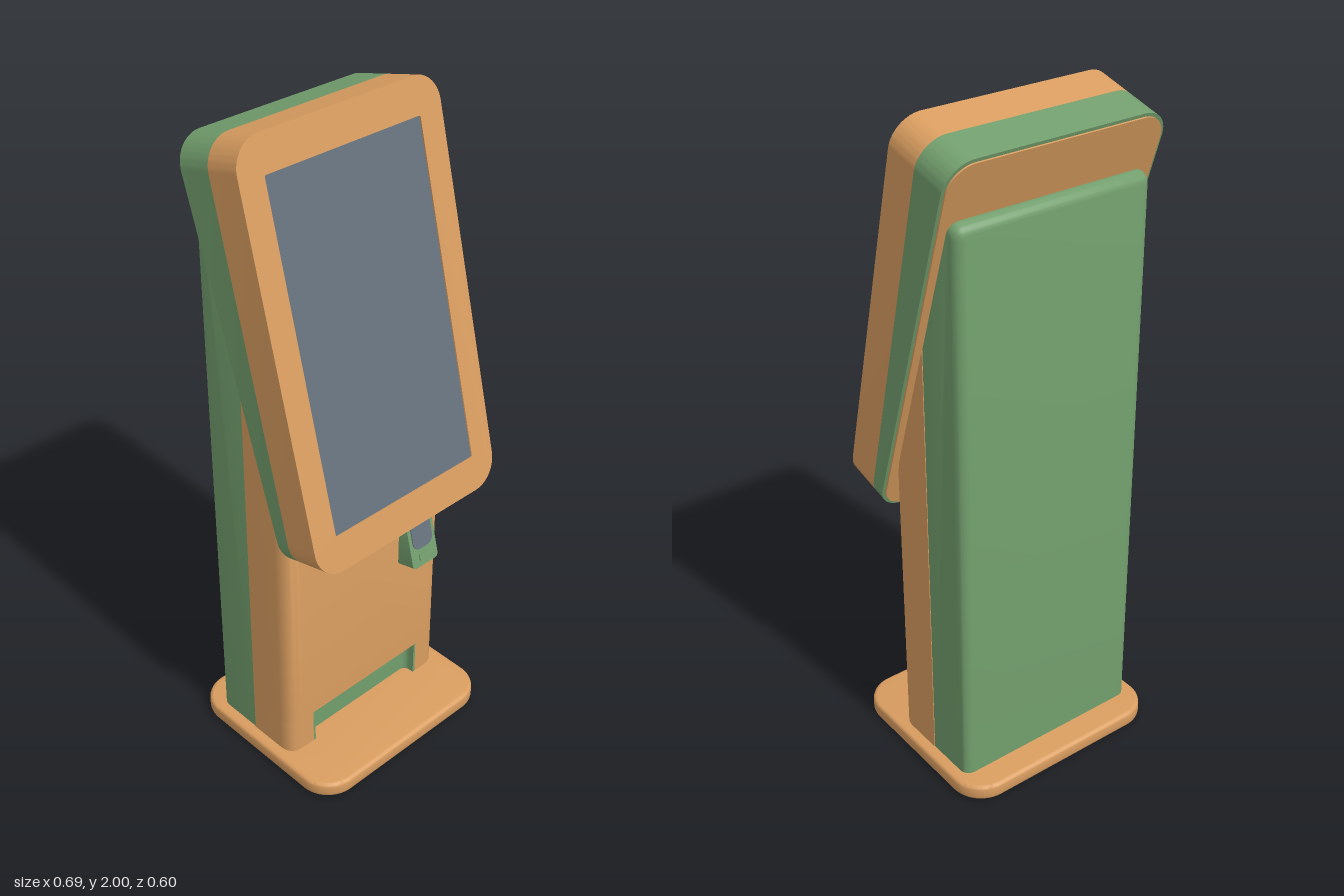
import * as THREE from 'three';
import { toCreasedNormals } from 'three/addons/utils/BufferGeometryUtils.js';

const orange = new THREE.MeshStandardMaterial({ color: 0xd99d60 });
orange.name = 'orange casing';
const green = new THREE.MeshStandardMaterial({ color: 0x729e6d });
green.name = 'green casing';
const glass = new THREE.MeshStandardMaterial({ color: 0x66727d });
glass.name = 'grey glass';

const TILT = Math.atan(0.2565);

function add(parent, name, geometry, material) {
  const mesh = new THREE.Mesh(toCreasedNormals(geometry, 0.6), material);
  mesh.name = name;
  parent.add(mesh);
  return mesh;
}

// Rounded rectangle, centred in x, rising from y0 by h
function roundRect(w, h, r, y0 = 0, Type = THREE.Shape) {
  const s = new Type(), x = w / 2, y1 = y0 + h;
  s.moveTo(-x + r, y0);
  s.lineTo(x - r, y0);
  s.absarc(x - r, y0 + r, r, -Math.PI / 2, 0);
  s.lineTo(x, y1 - r);
  s.absarc(x - r, y1 - r, r, 0, Math.PI / 2);
  s.lineTo(-x + r, y1);
  s.absarc(-x + r, y1 - r, r, Math.PI / 2, Math.PI);
  s.lineTo(-x, y0 + r);
  s.absarc(-x + r, y0 + r, r, Math.PI, Math.PI * 1.5);
  return s;
}

// Slab between z = front and a back plane that may slope from bottom to top
function slab(shape, h, front, backLow, backHigh = backLow) {
  const g = new THREE.ExtrudeGeometry(shape, { depth: 1, bevelEnabled: false, curveSegments: 10 });
  const p = g.attributes.position;
  for (let i = 0; i < p.count; i++) {
    const back = THREE.MathUtils.lerp(backLow, backHigh, p.getY(i) / h);
    p.setZ(i, THREE.MathUtils.lerp(back, front, p.getZ(i)));
  }
  return g;
}

// Plan outline (x, -z) raised from y0 by h
function raise(shape, y0, h, bevel = 0) {
  const g = new THREE.ExtrudeGeometry(shape, {
    depth: h - 2 * bevel, curveSegments: 10, bevelEnabled: bevel > 0,
    bevelSize: bevel, bevelThickness: bevel, bevelOffset: -bevel, bevelSegments: 3,
  });
  return g.rotateX(-Math.PI / 2).translate(0, y0 + bevel, 0);
}

// Hollow at the foot of the column, traced left to right
function traceHollow(s, x, depth, r) {
  const f = -0.11, b = f + depth;
  s.lineTo(-x, f);
  s.lineTo(-x, b - r);
  s.quadraticCurveTo(-x, b, -x + r, b);
  s.lineTo(x - r, b);
  s.quadraticCurveTo(x, b, x, b - r);
  s.lineTo(x, f);
}

// Plan of the front half of the column
function frontPlan(hollow) {
  const s = new THREE.Shape();
  s.moveTo(-0.312, 0.055);
  s.lineTo(-0.312, -0.06);
  s.quadraticCurveTo(-0.312, -0.11, -0.262, -0.11);
  if (hollow) traceHollow(s, 0.22, 0.045, 0.03);
  s.lineTo(0.262, -0.11);
  s.quadraticCurveTo(0.312, -0.11, 0.312, -0.06);
  s.lineTo(0.312, 0.055);
  s.closePath();
  return s;
}

function buildColumn(root) {
  const column = new THREE.Group();
  column.name = 'column';
  root.add(column);
  add(column, 'columnFoot', raise(frontPlan(true), 0.03, 0.137), orange);

  // Front shell, its top cut along the slope of the head
  const front = raise(frontPlan(false), 0.167, 1);
  const p = front.attributes.position;
  for (let i = 0; i < p.count; i++) {
    if (p.getY(i) > 0.5) p.setY(i, 0.84 + (0.14 - p.getZ(i)) * 3.08);
  }
  front.computeVertexNormals();
  add(column, 'columnFront', front, orange);

  // Lining of the hollow
  const lining = new THREE.Shape();
  lining.moveTo(-0.22, -0.11);
  traceHollow(lining, 0.22, 0.045, 0.03);
  const inner = new THREE.Shape();
  traceHollow(inner, 0.212, 0.037, 0.026);
  for (const v of inner.getPoints(8).reverse()) {
    if (v.x !== 0 || v.y !== 0) lining.lineTo(v.x, v.y);
  }
  lining.closePath();
  add(column, 'hollowLining', raise(lining, 0.04, 0.127), green);

  // Back shell: side profile (-z, y) with rounded edges
  const side = new THREE.Shape();
  side.moveTo(0.025, 0.01);
  side.lineTo(0.215, 0.01);
  side.lineTo(0.215, 1.74);
  side.quadraticCurveTo(0.215, 1.78, 0.175, 1.78);
  side.lineTo(0.15, 1.78);
  side.lineTo(0.025, 1.4);
  side.closePath();
  const back = new THREE.ExtrudeGeometry(side, {
    depth: 0.56, bevelSize: 0.03, bevelThickness: 0.03, bevelOffset: -0.03, bevelSegments: 5, curveSegments: 8,
  });
  add(column, 'columnBack', back.rotateY(Math.PI / 2).translate(-0.28, 0, 0), green);
}

function buildHead(root) {
  const head = new THREE.Group();
  head.name = 'screenHead';
  head.position.set(0, 0.85, 0.285);
  head.rotation.x = -TILT;
  root.add(head);
  const W = 0.69, H = 1.187, R = 0.085;

  // Bezel around the slightly sunk screen
  const bezel = roundRect(W, H, R);
  bezel.holes.push(roundRect(0.53, 0.98, 0.006, 0.104, THREE.Path));
  add(head, 'bezel', slab(bezel, H, 0, -0.01), orange);
  add(head, 'screen', slab(roundRect(0.53, 0.98, 0.006, 0.104), H, -0.004, -0.01), glass);

  // Casing, wedge-shaped rear band and back cover
  add(head, 'headCasing', slab(roundRect(W, H, R), H, -0.01, -0.11), orange);
  add(head, 'rearBand', slab(roundRect(W, H, R), H, -0.11, -0.15, -0.226), green);
  add(head, 'backCover', slab(roundRect(W - 0.02, H - 0.02, R - 0.01, 0.01), H, -0.12, -0.156, -0.231), orange);
}

function buildTerminal(root) {
  const terminal = new THREE.Group();
  terminal.name = 'cardTerminal';
  terminal.position.set(0.183, 0.558, 0.175);
  terminal.rotation.x = -TILT;
  root.add(terminal);
  add(terminal, 'terminalBody', slab(roundRect(0.105, 0.166, 0.014), 0.166, 0, -0.067), green);
  add(terminal, 'terminalScreen', slab(roundRect(0.08, 0.092, 0.025, 0.058), 0.166, 0.003, -0.002), glass);
  add(terminal, 'cardSlot', slab(roundRect(0.045, 0.022, 0.004, 0.018), 0.166, 0.004, -0.002), green);
}

export function createModel() {
  const root = new THREE.Group();
  root.name = 'kiosk';
  add(root, 'basePlate', raise(roundRect(0.69, 0.6, 0.1, -0.3), 0, 0.05, 0.012), orange);
  buildColumn(root);
  buildHead(root);
  buildTerminal(root);
  return root;
}
